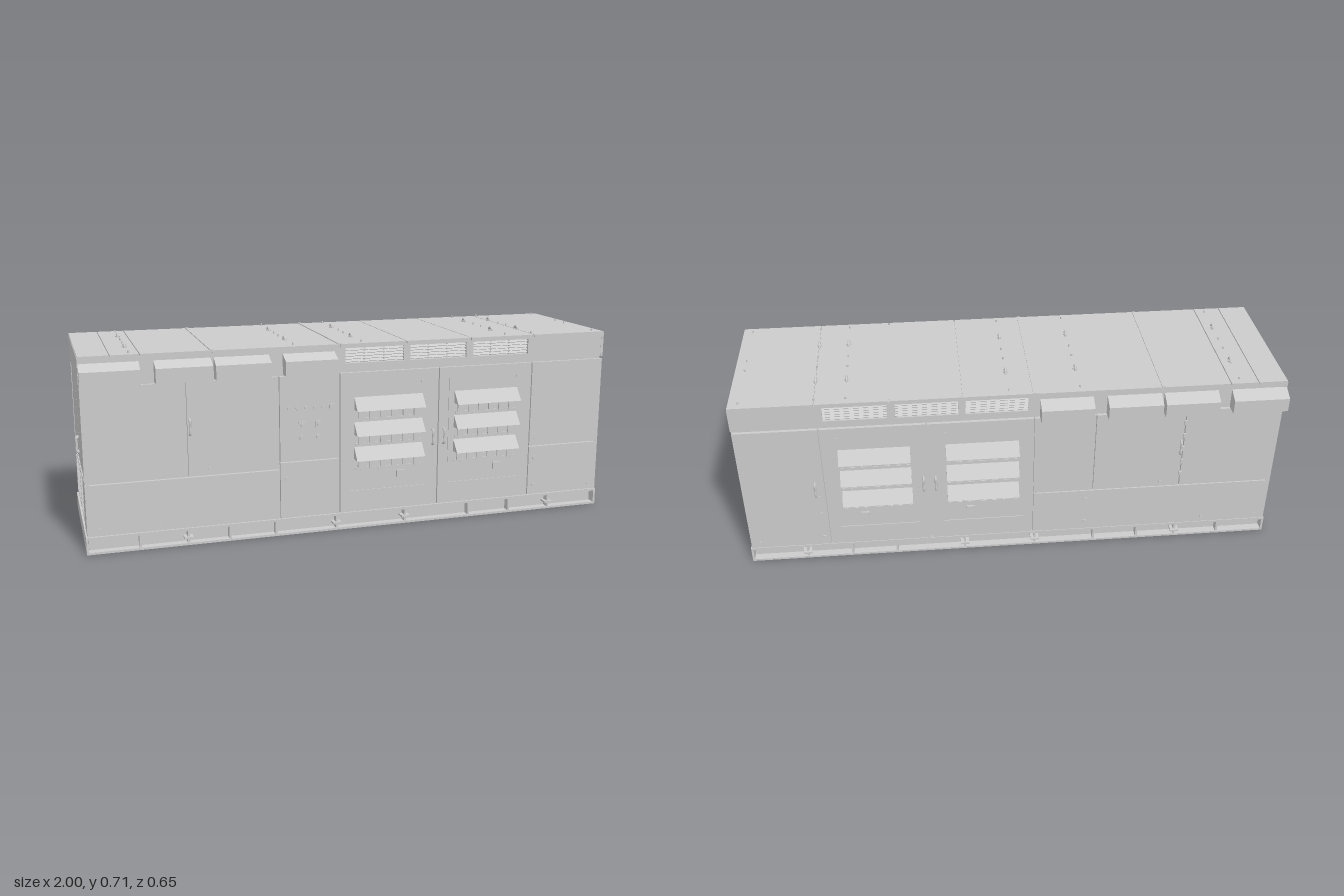
import * as THREE from 'three';

const mat = new THREE.MeshStandardMaterial({ color: 0xcccccc, flatShading: true });
const smooth = new THREE.MeshStandardMaterial({ color: 0xcccccc });

export function createModel() {
  const model = new THREE.Group();
  model.name = 'generatorEnclosure';

  const add = (name, geo, x = 0, y = 0, z = 0, m = mat) => {
    const mesh = new THREE.Mesh(geo, m);
    mesh.name = name;
    mesh.position.set(x, y, z);
    model.add(mesh);
    return mesh;
  };
  // box given by its limits on each axis
  const box = (name, x0, x1, y0, y1, z0, z1) =>
    add(name, new THREE.BoxGeometry(Math.abs(x1 - x0), Math.abs(y1 - y0), Math.abs(z1 - z0)),
      (x0 + x1) / 2, (y0 + y1) / 2, (z0 + z1) / 2);
  // [z, y] profile extruded along x
  const prism = (name, pts, x0, x1) => {
    const shape = new THREE.Shape(pts.map(([z, y]) => new THREE.Vector2(-z, y)));
    const geo = new THREE.ExtrudeGeometry(shape, { depth: x1 - x0, bevelEnabled: false });
    add(name, geo.rotateY(Math.PI / 2), x0);
  };
  // round stud pointing along z
  const stud = (name, x, y, s, r, len, z = 0.28) =>
    add(name, new THREE.CylinderGeometry(r, r, len, 12).rotateX(Math.PI / 2), x, y, s * (z + len / 2));
  // upright grab handle on a bent tube; dir points out of the wall
  const handle = (x, y, z, dir, h = 0.055, out = 0.012) => {
    const p = (dy, o) => new THREE.Vector3(x + dir[0] * o, y + dy, z + dir[1] * o);
    const path = new THREE.CatmullRomCurve3(
      [p(-h / 2, 0), p(-h / 2 + 0.003, out), p(0, out), p(h / 2 - 0.003, out), p(h / 2, 0)]);
    add('doorHandle', new THREE.TubeGeometry(path, 20, 0.0045, 8), 0, 0, 0, smooth);
  };

  // Skid base: plates with a recessed web and gussets
  box('basePlate', -0.995, 0.99, 0, 0.008, -0.279, 0.279);
  box('baseTopFlange', -0.995, 0.99, 0.054, 0.063, -0.279, 0.279);
  box('baseWeb', -0.985, 0.98, 0.008, 0.054, -0.25, 0.25);
  for (const x of [-0.995, 0.982]) box('baseEndPlate', x, x + 0.008, 0, 0.063, -0.279, 0.279);
  for (const s of [1, -1]) {
    for (const x of [-0.81, -0.64, -0.49, -0.32, -0.09, 0.18, 0.44, 0.61, 0.78])
      box('baseGusset', x - 0.004, x + 0.004, 0.008, 0.054, s * 0.25, s * 0.277);
    for (const x of [-0.64, -0.09, 0.18, 0.78])
      box('baseLashingLug', x - 0.016, x + 0.016, 0.024, 0.031, s * 0.25, s * 0.284);
    for (const z of [0.167, 0.22]) for (const y of [0.02, 0.047])
      add('baseBolt', new THREE.CylinderGeometry(0.0035, 0.0035, 0.004, 10).rotateZ(Math.PI / 2), 0.991, y, s * z);
  }

  // Inner shell behind all panels
  box('bodyCore', -0.98, 0.98, 0.06, 0.6, -0.268, 0.268);

  // Side wall panels [x0, x1, y0, y1]
  const shared = [
    [-0.99, -0.637, 0.253, 0.59], [-0.633, -0.307, 0.253, 0.59],
    [-0.078, 0.303, 0.066, 0.59], [0.307, 0.683, 0.066, 0.59],
  ];
  const frontOnly = [[-0.99, -0.307, 0.066, 0.249], [-0.303, -0.082, 0.278, 0.59],
    [-0.303, -0.082, 0.066, 0.274], [0.687, 0.985, 0.066, 0.258], [0.687, 0.985, 0.262, 0.59]];
  const backOnly = [[-0.99, -0.082, 0.066, 0.249], [-0.303, -0.082, 0.253, 0.59], [0.687, 0.985, 0.066, 0.59]];
  for (const s of [1, -1])
    for (const [x0, x1, y0, y1] of [...shared, ...(s > 0 ? frontOnly : backOnly)])
      box('sidePanel', x0, x1, y0, y1, s * 0.262, s * 0.28);

  // Louvred doors
  for (const s of [1, -1]) {
    for (const [x0, x1] of [[-0.025, 0.24], [0.368, 0.625]]) {
      for (const top of [0.5, 0.407, 0.314]) {
        const b = top - 0.047, t = 0.003;
        prism('louvreHood', [[s * 0.279, top], [s * 0.319, b], [s * 0.316, b], [s * 0.279, top - 0.004]], x0, x1);
        for (const x of [x0, x1 - t])
          prism('louvreCheek', [[s * 0.279, top], [s * 0.319, b], [s * 0.279, b]], x, x + t);
        for (let i = 0; i < 6; i++) {
          const x = x0 + 0.024 + i * (x1 - x0 - 0.048) / 5;
          box('louvreTab', x - 0.01, x + 0.01, b - 0.038, b + 0.02, s * 0.279, s * 0.286);
        }
        box('louvreRail', x0 + 0.004, x1 - 0.004, b - 0.04, b - 0.033, s * 0.279, s * 0.284);
      }
      box('doorTrim', x0 - 0.02, x1 + 0.02, 0.141, 0.147, s * 0.279, s * 0.283);
      box('doorLatchBox', x0 + 0.165, x0 + 0.197, 0.184, 0.212, s * 0.279, s * 0.287);
      for (const dx of [0.03, 0.1, 0.24]) stud('doorScrew', x0 + dx, 0.225, s, 0.005, 0.004);
      stud('doorScrew', x1, 0.545, s, 0.006, 0.004);
    }
    box('doorStiffener', 0.345, 0.35, 0.225, 0.575, s * 0.279, s * 0.283);
    handle(0.281, 0.33, s * 0.28, [0, s]);
    handle(0.326, 0.33, s * 0.28, [0, s]);
    handle(-0.625, 0.432, s * 0.28, [0, s]);

    // Wall fasteners
    for (const [x, y] of [[-0.28, 0.215], [-0.28, 0.105], [0.71, 0.215], [0.71, 0.105]]) {
      stud('plugStem', x, y, s, 0.005, 0.008);
      stud('plugHead', x, y, s, 0.009, 0.004, 0.286);
    }
    for (const [x, y] of [[-0.95, 0.09], [-0.74, 0.09], [-0.56, 0.275], [0.71, 0.29], [0.95, 0.09]])
      stud('wallScrew', x, y, s, 0.005, 0.004);
    if (s < 0) for (let i = 0; i < 5; i++)
      box('rearDoorHinge', -0.64, -0.63, 0.3 + i * 0.058, 0.318 + i * 0.058, -0.279, -0.286);
  }
  handle(0.72, 0.33, -0.28, [0, -1]);

  // Control panel
  for (let i = 0; i < 6; i++) stud('indicatorLamp', -0.27 + i * 0.032, 0.472, 1, 0.007, 0.006);
  stud('emergencyStop', -0.11, 0.472, 1, 0.012, 0.012);
  for (const x of [-0.222, -0.16]) {
    box('controlSwitchPlate', x - 0.012, x + 0.012, 0.398, 0.422, 0.279, 0.285);
    stud('controlSwitchKnob', x, 0.41, 1, 0.007, 0.01, 0.284);
    stud('controlButton', x, 0.362, 1, 0.01, 0.008);
  }

  // Double doors and corner posts on the ends
  for (const e of [1, -1]) for (const s of [1, -1]) {
    const y0 = e > 0 ? 0.066 : 0.262;
    box('endDoor', e * 0.975, e * 0.988, y0, 0.59, s * 0.002, s * 0.259);
    box('endPost', e * 0.975, e * 0.985, 0.066, 0.59, s * 0.262, s * 0.28);
    handle(e * 0.986, 0.328, s * 0.01, [e, 0], 0.055, 0.01);
  }

  // Intake grilles low on the far end
  for (const [z0, z1] of [[-0.255, -0.008], [0.008, 0.16]]) {
    for (const z of [z0, z1 - 0.012]) box('grilleFrameSide', -0.99, -0.975, 0.08, 0.25, z, z + 0.012);
    for (const y of [0.08, 0.24]) box('grilleFrameRail', -0.99, -0.975, y, y + 0.01, z0, z1);
    for (let i = 0; i < 7; i++) {
      const slat = box('grilleSlat', -0.992, -0.976, 0.101 + i * 0.021, 0.104 + i * 0.021, z0 + 0.008, z1 - 0.008);
      slat.rotation.z = 0.6;
    }
  }
  box('endLowerPanel', -0.99, -0.975, 0.066, 0.258, 0.165, 0.259);

  // Roof module: deck sections split by seams
  const seams = [-0.992, -0.885, -0.785, -0.54, -0.08, 0.175, 0.43, 0.69, 0.987];
  box('roofCore', -0.985, 0.98, 0.598, 0.69, -0.258, 0.258);
  for (let i = 0; i < seams.length - 1; i++)
    box('roofDeckPanel', seams[i] + 0.0015, seams[i + 1] - 0.0015, 0.686, 0.696, -0.28, 0.28);
  for (const x of [-0.54, -0.08])
    box('roofSeamCap', x - 0.006, x + 0.006, 0.69, 0.699, -0.279, 0.279);
  for (const x of [-0.992, 0.977]) box('roofEndPanel', x, x + 0.01, 0.6, 0.69, -0.28, 0.28);

  // Roof side fascia with vent openings
  const vents = [[-0.058, 0.165], [0.19, 0.412], [0.44, 0.665]];
  const fascia = new THREE.Shape([[-0.99, 0.6], [0.985, 0.6], [0.985, 0.687], [-0.99, 0.687]]
    .map(p => new THREE.Vector2(...p)));
  for (const [x0, x1] of vents)
    fascia.holes.push(new THREE.Path([[x0, 0.625], [x0, 0.68], [x1, 0.68], [x1, 0.625]]
      .map(p => new THREE.Vector2(...p))));
  for (const s of [1, -1]) {
    add('roofFascia', new THREE.ExtrudeGeometry(fascia, { depth: 0.02, bevelEnabled: false }), 0, 0, s > 0 ? 0.259 : -0.279);
    for (const [x0, x1] of vents) {
      for (let i = 0; i < 5; i++) {
        const slat = box('ventSlat', x0, x1, 0.631 + i * 0.0105, 0.633 + i * 0.0105, s * 0.262, s * 0.276);
        slat.rotation.x = s * 0.5;
      }
      for (const f of [1 / 3, 2 / 3]) {
        const x = x0 + (x1 - x0) * f;
        box('ventDivider', x - 0.002, x + 0.002, 0.625, 0.68, s * 0.26, s * 0.27);
      }
    }
    // Rain hoods, open underneath
    for (const [x0, x1] of [[-0.99, -0.79], [-0.74, -0.545], [-0.535, -0.34], [-0.29, -0.1]]) {
      const t = 0.003;
      prism('rainHood', [[s * 0.278, 0.672], [s * 0.327, 0.65], [s * 0.327, 0.598],
        [s * 0.324, 0.598], [s * 0.324, 0.648], [s * 0.278, 0.669]], x0, x1);
      for (const x of [x0, x1 - t])
        prism('rainHoodCheek', [[s * 0.278, 0.672], [s * 0.327, 0.65], [s * 0.327, 0.598], [s * 0.278, 0.598]], x, x + t);
    }
    // Lifting eyes and roof bolts
    for (const x of [-0.82, -0.245, 0.01, 0.58, 0.69, 0.95]) {
      if (x < 0.9) {
        add('liftingEye', new THREE.TorusGeometry(0.0125, 0.005, 8, 20).rotateY(Math.PI / 2), x, 0.695, s * 0.126, smooth);
        add('liftingEyeBase', new THREE.CylinderGeometry(0.009, 0.009, 0.005, 12), x, 0.697, s * 0.126);
      }
      for (const z of [0.035, 0.25])
        add('roofBolt', new THREE.CylinderGeometry(0.003, 0.003, 0.01, 8), x, 0.7, s * z);
    }
  }
  return model;
}
